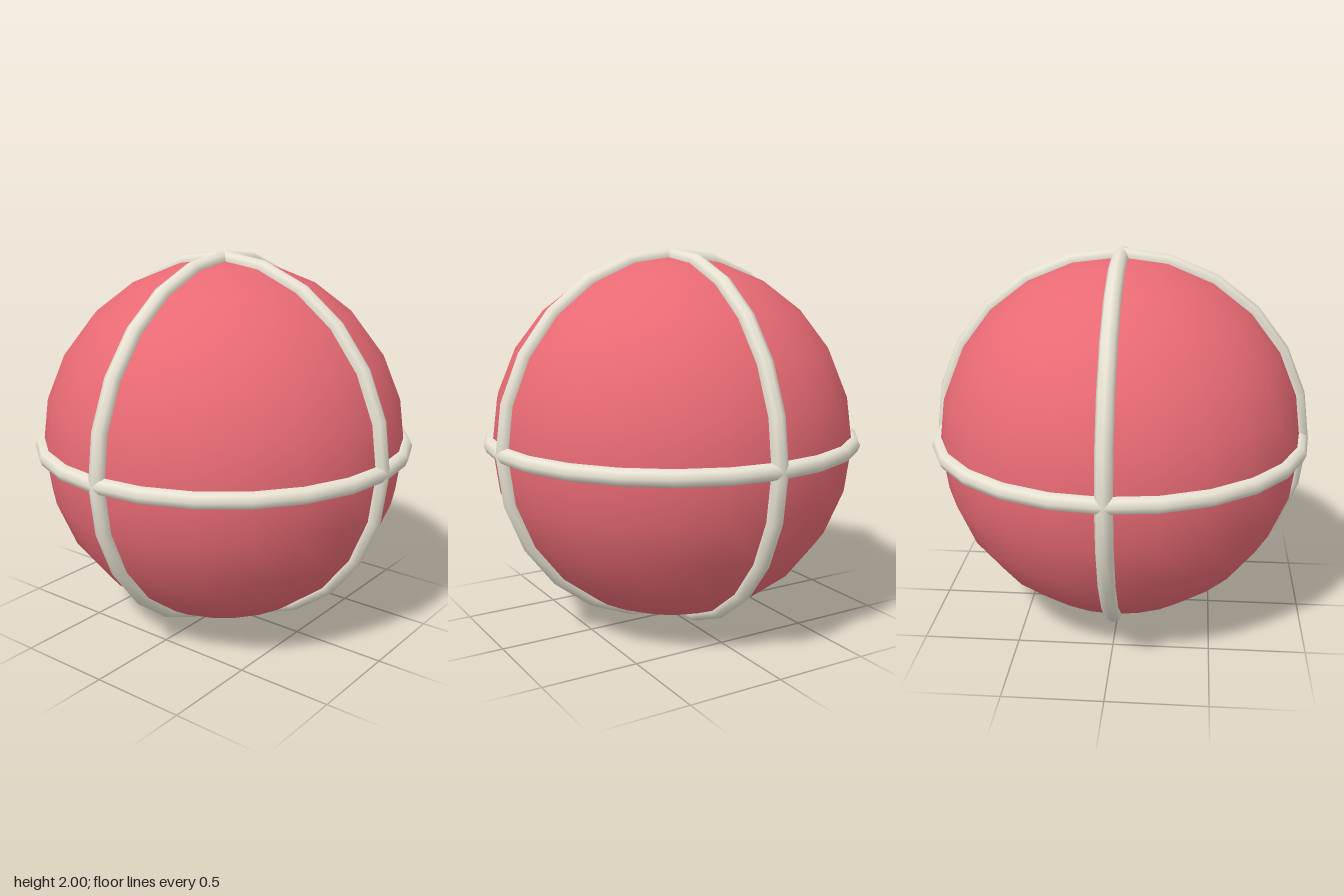
import * as THREE from 'three';

const RADIUS = 0.957;
const TUBE = 0.043;

export function createModel() {
  const group = new THREE.Group();
  group.name = 'bandedBall';
  const red = new THREE.MeshStandardMaterial({ color: 0xe86a74 });
  const ivory = new THREE.MeshStandardMaterial({ color: 0xe8e3d3 });

  // Ball body
  const ball = new THREE.Mesh(new THREE.SphereGeometry(RADIUS, 24, 12), red);
  ball.name = 'ball';
  ball.position.y = 1;
  group.add(ball);

  // Three raised bands, one around each axis
  const bandGeometry = new THREE.TorusGeometry(RADIUS, TUBE, 8, 24);
  const bands = [
    ['frontBand', 0, 0],
    ['sideBand', 0, Math.PI / 2],
    ['equatorBand', Math.PI / 2, 0],
  ];
  for (const [name, rx, ry] of bands) {
    const band = new THREE.Mesh(bandGeometry, ivory);
    band.name = name;
    band.rotation.set(rx, ry, 0);
    band.position.y = 1;
    group.add(band);
  }
  return group;
}
